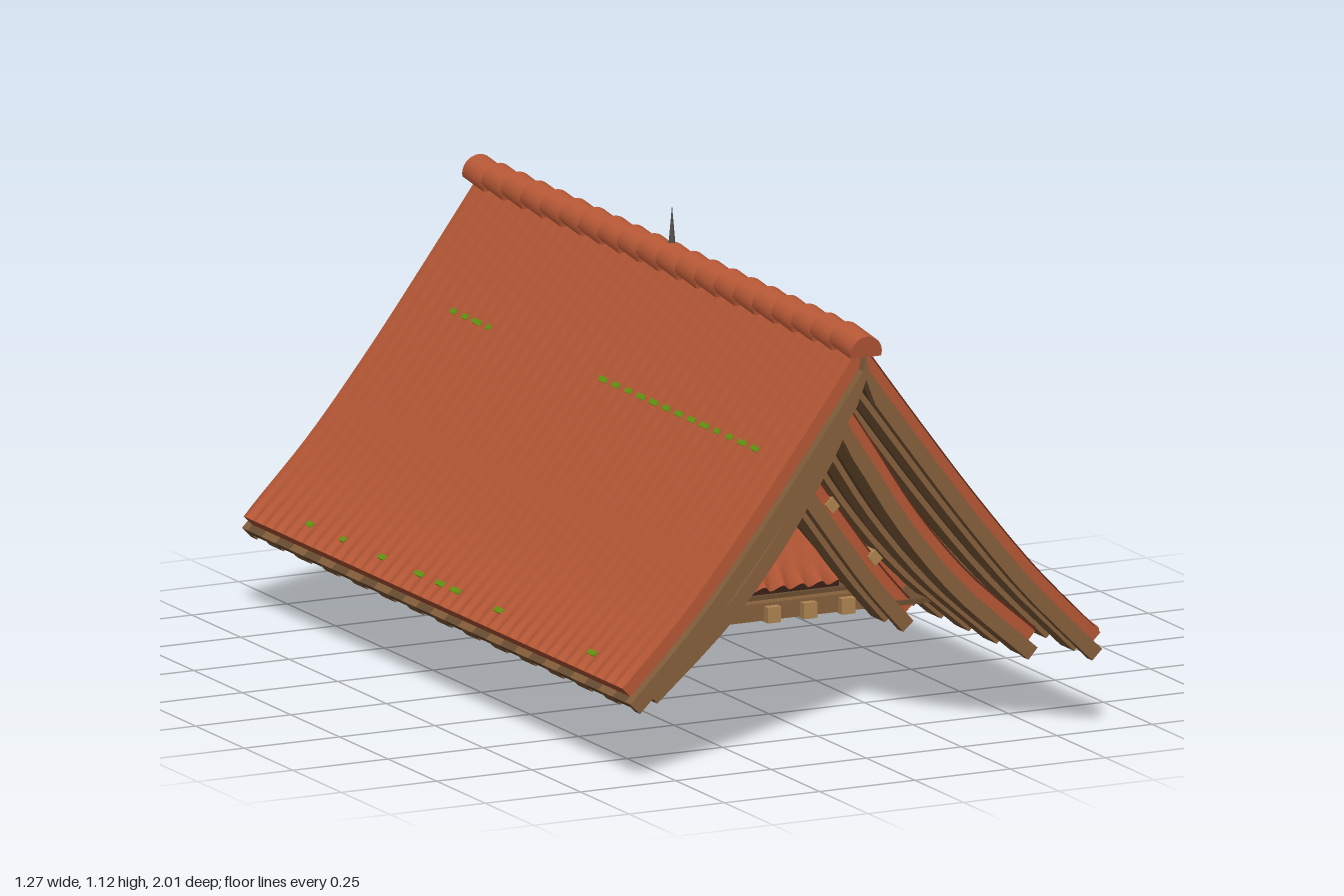
import * as THREE from 'three';
import { mergeGeometries } from 'three/addons/utils/BufferGeometryUtils.js';

const mat = (name, color, side = THREE.FrontSide) => {
  const m = new THREE.MeshStandardMaterial({ color, side });
  m.name = name;
  return m;
};

export function createModel() {
  const tile = mat('terracotta', 0xb75836, THREE.DoubleSide);
  const wood = mat('wood', 0x86603c);
  const paleWood = mat('pale wood', 0xb08452);
  const plank = mat('dark plank', 0x6b4e32);
  const plaster = mat('plaster', 0xa79a83);
  const iron = mat('iron', 0x55534c);
  const shadow = mat('dark opening', 0x3a2018);
  const moss = mat('moss', 0x669612);
  const leafDark = mat('dark leaf', 0x213c06, THREE.DoubleSide);
  const leafLight = mat('light leaf', 0x416810, THREE.DoubleSide);

  let seed = 7;
  const rand = () => (seed = (seed * 16807) % 2147483647) / 2147483647;

  const model = new THREE.Group();
  model.name = 'tiledRoof';
  const add = (parent, name, geo, material, x = 0, y = 0, z = 0) => {
    const mesh = new THREE.Mesh(geo, material);
    mesh.name = name;
    mesh.position.set(x, y, z);
    parent.add(mesh);
    return mesh;
  };
  const box = (parent, name, m, w, h, d, x, y, z) =>
    add(parent, name, new THREE.BoxGeometry(w, h, d), m, x, y, z);

  // Point on a slope profile, pushed out along its normal
  const at = (curve, t, off = 0) => {
    const p = curve.getPoint(t), g = curve.getTangent(t);
    return new THREE.Vector2(Math.max(0, p.x - g.y * off), p.y + g.x * off);
  };
  // Offset profile, its eave end lengthened by tail
  const line = (curve, off, tail = 0) => {
    const pts = Array.from({ length: 15 }, (_, i) => at(curve, i / 14, off));
    pts[14].addScaledVector(curve.getTangent(1), tail);
    return pts;
  };
  // Solid between two lines, running from z0 to z1
  const between = (upper, lower, z0, z1) => {
    const g = new THREE.ExtrudeGeometry(new THREE.Shape([...upper, ...lower.slice().reverse()]),
      { depth: z1 - z0, bevelEnabled: false });
    return g.translate(0, 0, z0);
  };
  const slab = (curve, top, bottom, z0, z1, tail = 0) =>
    between(line(curve, top, tail), line(curve, bottom, tail), z0, z1);

  // Surface from a grid of points
  const grid = (nu, nv, point) => {
    const pos = [], index = [];
    for (let j = 0; j <= nv; j++) for (let i = 0; i <= nu; i++) pos.push(...point(i / nu, j / nv));
    for (let j = 0; j < nv; j++) for (let i = 0; i < nu; i++) {
      const a = j * (nu + 1) + i, b = a + nu + 1;
      index.push(a, b, a + 1, b, b + 1, a + 1);
    }
    const g = new THREE.BufferGeometry();
    g.setAttribute('position', new THREE.Float32BufferAttribute(pos, 3));
    g.setIndex(index);
    g.computeVertexNormals();
    return g;
  };
  const wave = (d) => Math.cos((d / 0.05) * Math.PI * 2);

  // Overlapping half-round tiles on a ridge
  const arch = new THREE.Shape();
  arch.absarc(0, 0, 0.041, -0.25, Math.PI + 0.25, false);
  const ridge = (y, half) => {
    const n = Math.round(half * 20), step = (2 * half) / n, parts = [];
    for (let i = 0; i < n; i++) {
      const g = new THREE.ExtrudeGeometry(arch, { depth: step * 1.1, bevelEnabled: false, curveSegments: 12 });
      g.translate(0, 0, -step * 0.55).rotateX(0.13);
      parts.push(g.translate(0, y, -half + step * (i + 0.5)));
    }
    add(model, 'ridgeTiles', mergeGeometries(parts), tile);
  };

  const curveOf = (pts) => new THREE.SplineCurve(pts.map(([x, y]) => new THREE.Vector2(x, y)));
  const roofs = [
    { name: 'outerRoof', half: 1, curve: curveOf([[0, 1.0], [0.15, 0.797], [0.3, 0.6], [0.462, 0.405], [0.628, 0.238]]) },
    { name: 'middleRoof', half: 0.88, curve: curveOf([[0, 0.86], [0.097, 0.712], [0.203, 0.55], [0.341, 0.385], [0.518, 0.228]]) },
    { name: 'innerRoof', half: 0.57, curve: curveOf([[0, 0.72], [0.102, 0.572], [0.193, 0.445], [0.273, 0.338], [0.355, 0.243]]) },
  ];

  // Three nested roofs; each slope is built once and turned half round
  for (const { name, half, curve } of roofs) {
    const side = new THREE.Group();
    side.name = name + 'Slope';
    const inner = half - 0.025, waves = Math.round(inner * 40);
    // Tiles lie nearly flat and curl at the eave
    add(side, 'tiles', grid(waves * 6, 24, (u, v) => {
      const z = (u * 2 - 1) * inner, p = at(curve, v, wave(z) * (0.0005 + 0.005 * v ** 16) + 0.003);
      return [p.x, p.y, z];
    }), tile);
    add(side, 'tileBed', slab(curve, -0.001, -0.033, -inner, inner), tile);
    for (const s of [-1, 1]) {
      const z = s * (half - 0.014);
      add(side, 'bargeboard', slab(curve, -0.031, -0.067, z - 0.014, z + 0.014, 0.018), wood);
    }
    // Boards running down the underside
    const count = Math.round(inner * 28), w = (2 * inner) / count, light = [], dark = [];
    for (let i = 0; i < count; i++) {
      const z = -inner + i * w, odd = i % 2;
      (odd ? light : dark).push(slab(curve, -0.033, odd ? -0.064 : -0.05, z, z + w, 0.018));
    }
    add(side, 'undersideBoards', mergeGeometries(dark), plank);
    add(side, 'rafters', mergeGeometries(light), wood);
    const other = side.clone();
    other.rotation.y = Math.PI;
    model.add(side, other);
    ridge(curve.getPoint(0).y - 0.012, half - 0.005);
  }
  const [outer, middle, innermost] = roofs.map((r) => r.curve);

  // Infill and purlins between the roofs
  const fill = new THREE.Group();
  fill.name = 'roofInfill';
  for (const z of [-0.45, 0.45]) {
    add(fill, 'plasterInfill',
      between(line(outer, -0.055, -0.05), line(middle, -0.01, -0.05), z - 0.015, z + 0.015), plaster);
    add(fill, 'tileRoll', slab(innermost, 0.024, 0, z - 0.06, z + 0.06, -0.03), tile);
  }
  for (const t of [0.22, 0.38, 0.55, 0.72, 0.86]) {
    const p = at(outer, t, -0.08);
    box(fill, 'purlin', wood, 0.034, 0.028, 1.2, p.x, p.y, 0).rotation.z = -0.85;
  }
  for (const t of [0.3, 0.5, 0.7]) {
    const p = at(middle, t, -0.075);
    box(fill, 'innerPurlin', paleWood, 0.03, 0.03, 1.1, p.x, p.y, 0).rotation.z = -0.9;
  }
  box(fill, 'soffit', plank, 0.1, 0.012, 1.1, 0.36, 0.25, 0);
  // Moss specks lying on the tiles
  for (let i = 0; i < 26; i++) {
    const t = i < 17 ? 0.33 : 0.93, p = at(outer, t, 0.004), g = outer.getTangent(t);
    const z = i < 4 ? 0.55 + i * 0.06 : i < 17 ? -0.04 - (i - 4) * 0.065 : rand() * 1.7 - 0.85;
    box(fill, 'mossSpeck', moss, 0.013, 0.004, 0.02 + rand() * 0.025, p.x, p.y, z)
      .rotation.z = Math.atan2(g.y, g.x);
  }
  const fill2 = fill.clone();
  fill2.rotation.y = Math.PI;
  model.add(fill, fill2);

  // Front gable: sloping tiled skirt with a vent
  add(model, 'gableTiles', grid(96, 12, (u, v) => {
    const k = 1 - v, x = (u * 2 - 1) * (0.27 - 0.265 * k), w = wave(x) * (0.0005 + 0.007 * v ** 14);
    return [x, 0.272 + 0.356 * k + w, 0.37 - 0.12 * k + w];
  }), tile);
  box(model, 'tileShadow', shadow, 0.52, 0.03, 0.02, 0, 0.26, 0.34);
  box(model, 'ventOpening', shadow, 0.026, 0.05, 0.03, 0, 0.585, 0.4);
  add(model, 'ventPeak', new THREE.ConeGeometry(0.017, 0.016, 4), shadow, 0, 0.618, 0.4);
  box(model, 'ventMoss', moss, 0.09, 0.009, 0.009, 0, 0.557, 0.36);

  // Back gable: boarded wall with a lattice
  const wall = new THREE.Shape([[-0.27, 0.25], [0.27, 0.25], [0, 0.63]].map(([x, y]) => new THREE.Vector2(x, y)));
  add(model, 'backWall', new THREE.ExtrudeGeometry(wall, { depth: 0.02, bevelEnabled: false }), plank, 0, 0, -0.36);
  for (let i = -3; i <= 3; i++) box(model, 'latticePost', wood, 0.016, 0.13, 0.02, i * 0.045, 0.345, -0.37);
  for (const y of [0.28, 0.345, 0.41]) box(model, 'latticeRail', wood, 0.3, 0.016, 0.02, 0, y, -0.375);

  // Beams and joist ends at both ends
  for (const s of [-1, 1]) {
    box(model, 'sillBeam', wood, 0.64, 0.042, 0.04, 0, 0.225, s * 0.37);
    box(model, 'tieBeam', wood, 1.04, 0.03, 0.04, 0, 0.275, s * 0.27);
    for (const x of [-0.255, -0.175, -0.1, 0.06, 0.155, 0.255])
      box(model, 'joistEnd', paleWood, 0.035, 0.038, 0.05, x, 0.22, s * 0.385);
  }

  // Floor frame seen from below
  for (const s of [-1, 1]) {
    box(model, 'sideBeam', wood, 0.045, 0.04, 0.74, s * 0.3, 0.226, 0);
    box(model, 'innerBeam', wood, 0.03, 0.03, 0.7, s * 0.15, 0.228, 0);
    box(model, 'plasterPanel', plaster, 0.06, 0.012, 0.14, s * 0.06, 0.238, s * 0.13);
    for (let i = -3; i <= 3; i++)
      box(model, 'sideJoistEnd', paleWood, 0.05, 0.034, 0.03, s * 0.315, 0.22, i * 0.11);
  }
  box(model, 'ceiling', plank, 0.6, 0.012, 0.72, 0, 0.25, 0);
  for (const z of [-0.24, 0, 0.24]) box(model, 'crossBeam', wood, 0.6, 0.03, 0.035, 0, 0.23, z);

  // Ridge spike
  add(model, 'spike', new THREE.ConeGeometry(0.01, 0.11, 8), iron, 0, 1.07, 0);

  // Hanging foliage: small pointed leaves in a flat cluster
  const leaves = [[], []];
  const leaf = (x, y, size, light) => {
    const g = new THREE.CircleGeometry(size, 5);
    g.scale(1, 0.75, 1).rotateZ(rand() * 6.28).rotateY(rand() * 0.8 - 0.4).rotateX(rand() * 0.6 - 0.3);
    leaves[light ? 1 : 0].push(g.translate(x, y, (rand() - 0.5) * 0.03));
  };
  for (let i = 0; i < 100; i++) {
    const v = rand();
    leaf(-0.02 + (rand() - 0.5) * (0.24 - 0.1 * v), 0.195 - v * 0.1, 0.024 + rand() * 0.01, rand() < 0.08);
  }
  for (let i = 0; i < 18; i++) leaf(0.03 + (rand() - 0.5) * 0.1, 0.09 + (rand() - 0.5) * 0.05, 0.018, true);
  const strands = [[-0.18, 0.145], [-0.15, 0.15], [-0.09, 0.03], [-0.07, 0.07], [-0.03, 0.01], [0.02, 0.01], [0.05, 0.05], [0.07, 0.09], [0.09, 0.16]];
  for (const [x, low] of strands)
    for (let y = 0.2; y >= low; y -= 0.013) leaf(x + (rand() - 0.5) * 0.025, y, 0.012, y < 0.06 && rand() < 0.4);
  add(model, 'foliageDark', mergeGeometries(leaves[0]), leafDark);
  add(model, 'foliageLight', mergeGeometries(leaves[1]), leafLight);

  return model;
}
